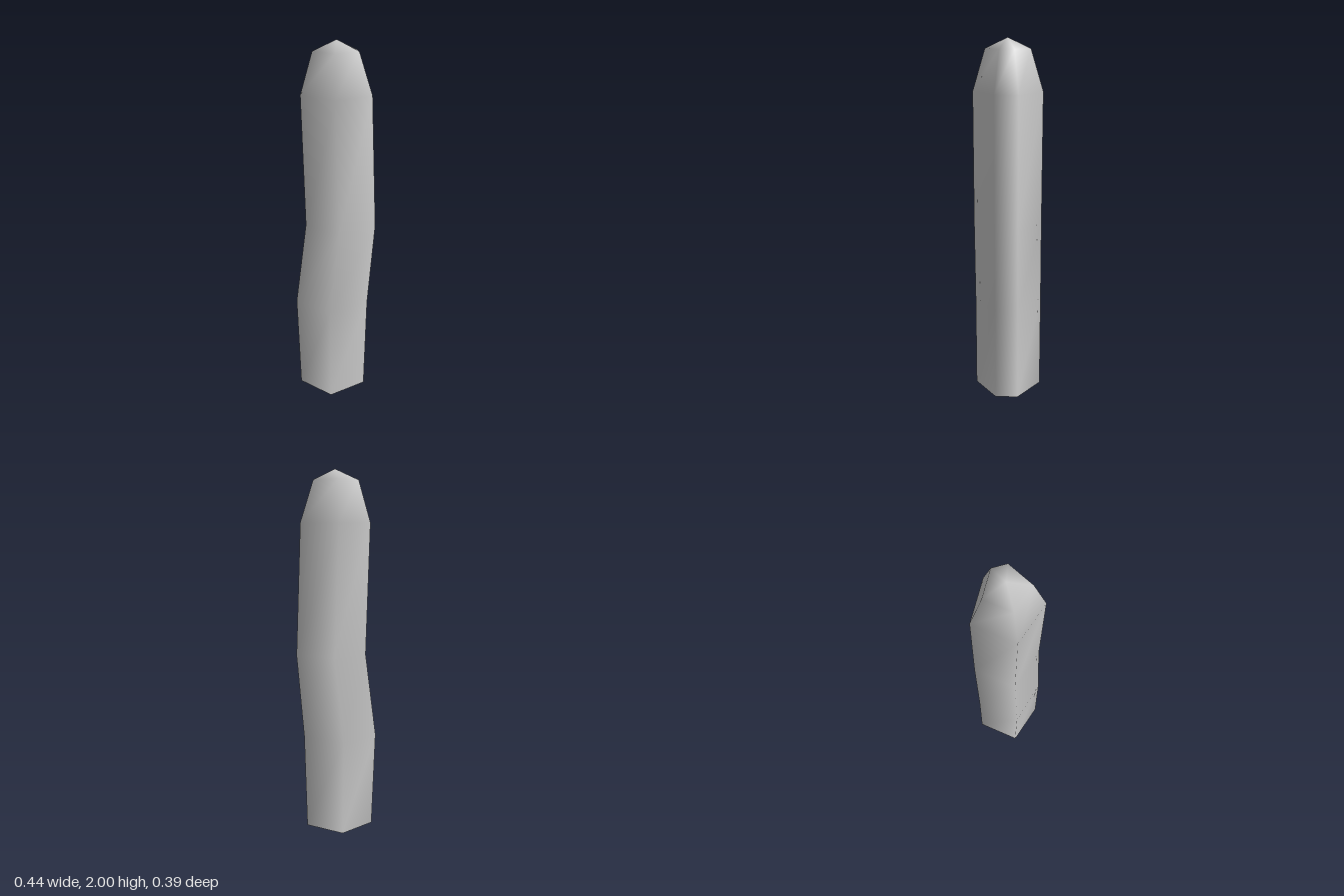
import * as THREE from 'three';

// Five-sided cross-section (x, z), ordered from +x towards +z
const SECTION = [[0.95, 0.33], [-0.16, 0.99], [-1, 0], [-0.16, -0.99], [0.95, -0.33]];

// Rings up the bent shaft: height, centre x, x scale, z scale
const RINGS = [
  [0, -0.013, 0.187, 0.188],
  [0.52, -0.015, 0.205, 0.19],
  [0.98, 0.034, 0.196, 0.191],
  [1.71, 0.01, 0.195, 0.195],
  [1.94, 0.006, 0.126, 0.126],
];

const ringPoints = ([y, cx, sx, sz]) => SECTION.map(([x, z]) => [cx + x * sx, y, z * sz]);

function makeGeometry(points, index) {
  const geometry = new THREE.BufferGeometry();
  geometry.setAttribute('position', new THREE.Float32BufferAttribute(points.flat(), 3));
  geometry.setIndex(index);
  geometry.computeVertexNormals();
  return geometry;
}

export function createModel() {
  const group = new THREE.Group();
  group.name = 'bentPost';
  const material = new THREE.MeshStandardMaterial({ color: 0xcccccc });
  const n = SECTION.length;

  // Smooth shaft closed by a blunt tip
  const points = RINGS.flatMap(ringPoints);
  const tip = points.push([0.01, 2, 0]) - 1;
  const index = [];
  for (let r = 0; r < RINGS.length; r++) {
    for (let j = 0; j < n; j++) {
      const a = r * n + j;
      const b = r * n + (j + 1) % n;
      if (r === RINGS.length - 1) index.push(a, tip, b);
      else index.push(a, a + n, b, b, a + n, b + n);
    }
  }
  const shaft = new THREE.Mesh(makeGeometry(points, index), material);
  shaft.name = 'shaft';

  // Flat underside
  const fan = [];
  for (let j = 1; j < n - 1; j++) fan.push(0, j, j + 1);
  const base = new THREE.Mesh(makeGeometry(ringPoints(RINGS[0]), fan), material);
  base.name = 'base';

  group.add(shaft, base);
  return group;
}
